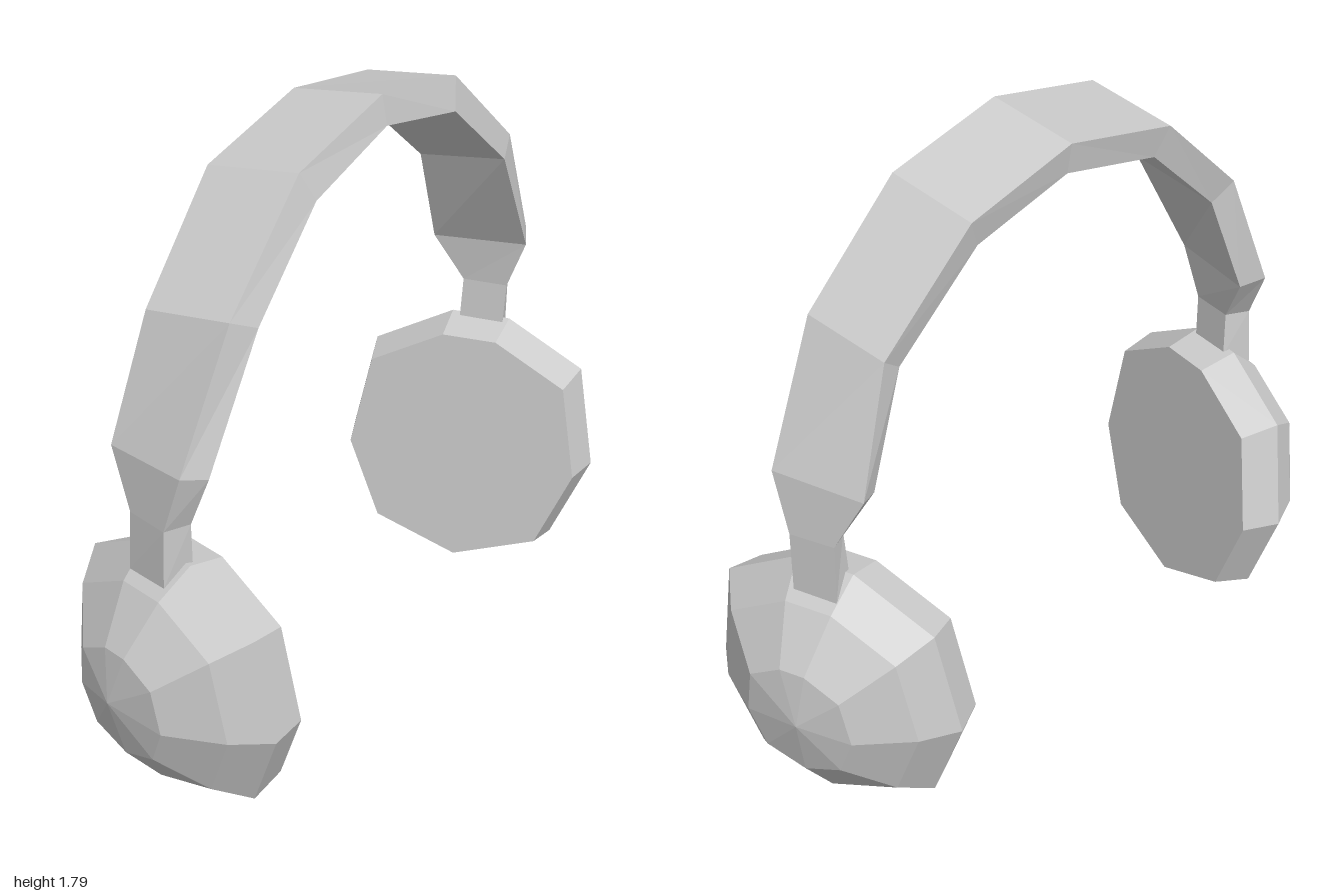
import * as THREE from 'three';

const material = new THREE.MeshStandardMaterial({ color: 0xcccccc, flatShading: true });

// Skin a series of matching rings and close both ends with a fan to a point.
function loft(rings, startPoint, endPoint) {
  const n = rings[0].length;
  const pos = [];
  const tri = (a, b, c) => pos.push(...a, ...b, ...c);
  for (let j = 0; j < n; j++) {
    const k = (j + 1) % n;
    tri(startPoint, rings[0][k], rings[0][j]);
    for (let i = 0; i < rings.length - 1; i++) {
      const p = rings[i], q = rings[i + 1];
      tri(p[j], p[k], q[k]);
      tri(p[j], q[k], q[j]);
    }
    const last = rings[rings.length - 1];
    tri(endPoint, last[j], last[k]);
  }
  const geometry = new THREE.BufferGeometry();
  geometry.setAttribute('position', new THREE.Float32BufferAttribute(pos, 3));
  geometry.computeVertexNormals();
  return geometry;
}

const centre = (ring) => [0, 1, 2].map((c) => ring.reduce((s, p) => s + p[c], 0) / ring.length);

function part(name, geometry) {
  const mesh = new THREE.Mesh(geometry, material);
  mesh.name = name;
  return mesh;
}

// Headband: four-cornered sections from the crown down to the neck,
// ordered outer left, inner left, inner right, outer right.
function headband() {
  const half = [
    [[-0.135, 1.75, 0], [-0.12, 1.66, 0], [0.155, 1.71, 0], [0.14, 1.795, 0]],
    [[-0.145, 1.67, 0.38], [-0.125, 1.585, 0.34], [0.16, 1.63, 0.34], [0.135, 1.715, 0.38]],
    [[-0.13, 1.39, 0.68], [-0.11, 1.34, 0.61], [0.165, 1.39, 0.61], [0.135, 1.43, 0.69]],
    [[-0.165, 1.045, 0.8], [-0.13, 1.03, 0.73], [0.14, 1.04, 0.8], [0.1, 1.06, 0.87]],
    [[-0.085, 0.89, 0.835], [-0.05, 0.89, 0.77], [0.08, 0.89, 0.8], [0.045, 0.89, 0.87]],
    [[-0.09, 0.72, 0.84], [-0.055, 0.76, 0.76], [0.075, 0.76, 0.79], [0.04, 0.72, 0.87]],
  ];
  const mirrored = half.slice(1).reverse().map((ring) => ring.map(([x, y, z]) => [x, y, -z]));
  const rings = [...mirrored, ...half];
  return loft(rings, centre(rings[0]), centre(rings[rings.length - 1]));
}

// Ear cup: nine-sided tilted rings from the flat ear side out to the dome.
function earCup(side) {
  const right = [[0.26, -0.3], [0.365, -0.05], [0.31, 0.25], [0.085, 0.375]];
  const outline = [[0, -0.395], ...right, ...right.map(([x, y]) => [-x, y]).reverse()];
  if (side < 0) outline.reverse();
  const rings = [
    // scale, centre x, centre y, centre z
    [0.93, 0.025, 0.4, 0.65],
    [1, 0, 0.4, 0.76],
    [0.8, -0.025, 0.395, 0.855],
    [0.43, -0.05, 0.385, 0.957],
  ].map(([s, cx, cy, cz]) => outline.map(([x, y]) =>
    [cx + s * x, cy + s * y, side * (cz + s * (0.25 * x + 0.09 * y))]));
  return loft(rings, centre(rings[0]), [-0.07, 0.39, side * 0.985]);
}

export function createModel() {
  const model = new THREE.Group();
  model.name = 'headphones';
  model.add(part('headband', headband()));
  model.add(part('frontEarCup', earCup(1)));
  model.add(part('backEarCup', earCup(-1)));
  return model;
}
